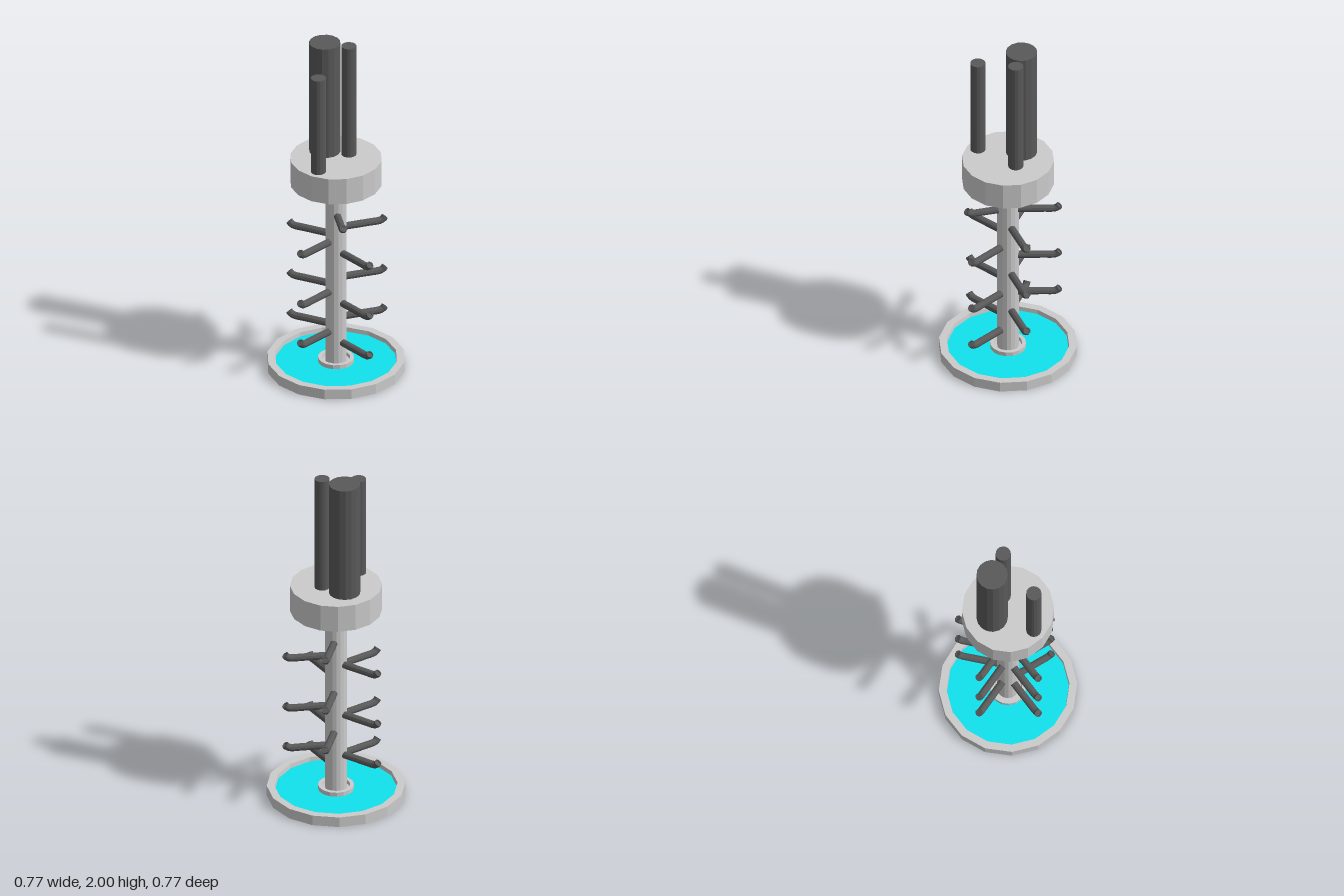
import * as THREE from 'three';

const material = (color) => new THREE.MeshStandardMaterial({ color, flatShading: true });
const grey = material(0xcccccc);
const dark = material(0x595959);
const cyan = material(0x10e2ec);

function add(parent, name, geometry, mat, x = 0, y = 0, z = 0) {
  const mesh = new THREE.Mesh(geometry, mat);
  mesh.name = name;
  mesh.position.set(x, y, z);
  parent.add(mesh);
  return mesh;
}

const lathe = (points, sides = 16) =>
  new THREE.LatheGeometry(points.map(([x, y]) => new THREE.Vector2(x, y)), sides);

// Cylinder standing on height y0
function column(parent, name, mat, radius, x, z, y0, y1) {
  const geometry = new THREE.CylinderGeometry(radius, radius, y1 - y0, 16);
  return add(parent, name, geometry, mat, x, (y0 + y1) / 2, z);
}

// Peg pointing along +x with an upturned, slightly hollow tip
const pegPath = new THREE.CatmullRomCurve3([
  [0.04, 0], [0.12, 0], [0.2, 0], [0.25, 0], [0.271, 0.006], [0.284, 0.021],
].map(([x, y]) => new THREE.Vector3(x, y, 0)));
const pegGeometry = new THREE.TubeGeometry(pegPath, 18, 0.021, 10, false);
const tipGeometry = lathe([[0.021, 0], [0.015, 0], [0.015, -0.006], [0, -0.006]], 10);

function makePeg(x, z, y) {
  const peg = new THREE.Group();
  peg.name = 'peg';
  add(peg, 'pegArm', pegGeometry, dark);
  const tip = add(peg, 'pegTip', tipGeometry, dark);
  tip.position.copy(pegPath.getPoint(1));
  tip.quaternion.setFromUnitVectors(new THREE.Vector3(0, 1, 0), pegPath.getTangent(1));
  peg.position.y = y;
  peg.rotation.y = Math.atan2(-z, x);
  return peg;
}

export function createModel() {
  const model = new THREE.Group();
  model.name = 'pegStand';

  // Dished base with coloured floor and a collar round the pole
  add(model, 'baseTray', lathe([
    [0, 0], [0.383, 0], [0.383, 0.06], [0.34, 0.06], [0.337, 0.035],
  ]), grey);
  add(model, 'trayFloor', lathe([[0.337, 0.035], [0.1, 0.035]]), cyan);
  add(model, 'poleCollar', lathe([
    [0.1, 0.035], [0.1, 0.06], [0.078, 0.06], [0.075, 0.04], [0.055, 0.04],
  ]), grey);

  // Pole and top drum
  column(model, 'pole', grey, 0.06, 0, 0, 0.02, 1.17);
  column(model, 'topDrum', grey, 0.255, 0, 0, 1.16, 1.317);

  // Rods rising from the drum
  column(model, 'largeRod', dark, 0.087, -0.043, -0.09, 1.3, 2);
  column(model, 'tallRod', dark, 0.042, 0.078, -0.022, 1.3, 2);
  column(model, 'shortRod', dark, 0.042, -0.131, 0.135, 1.3, 1.907);

  // Pegs: direction of each column (x, z) and its heights
  const pegs = [
    [0.28, -0.027, [0.875, 0.56, 0.31]],
    [0.13, 0.24, [0.735, 0.42, 0.172]],
    [0.07, -0.256, [0.975, 0.66, 0.41]],
    [-0.2, 0.13, [0.805, 0.49, 0.24]],
    [-0.2, -0.155, [0.83, 0.515, 0.263]],
    [-0.01, 0.25, [0.975]],
  ];
  const pegGroup = new THREE.Group();
  pegGroup.name = 'pegs';
  for (const [x, z, heights] of pegs) {
    for (const y of heights) pegGroup.add(makePeg(x, z, y));
  }
  // The uppermost front peg is set deeper into the pole
  pegGroup.children.at(-1).position.z = -0.05;
  model.add(pegGroup);

  return model;
}
